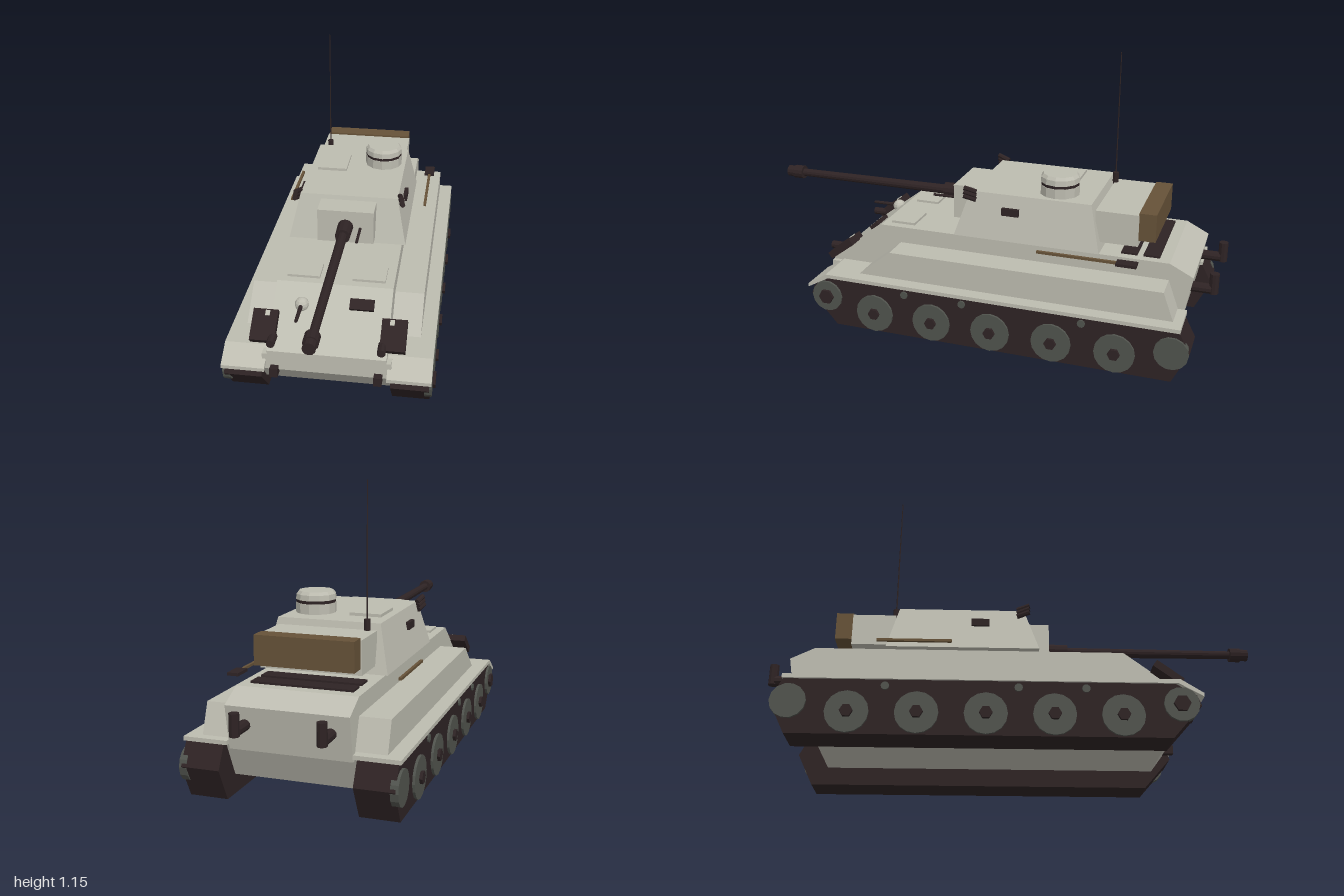
import * as THREE from 'three';

const mat = (name, color) => {
  const m = new THREE.MeshStandardMaterial({ color, flatShading: true });
  m.name = name;
  return m;
};

export function createModel() {
  const paint = mat('pale grey paint', 0xbdbcb0);
  const dark = mat('dark metal', 0x2e2324);
  const steel = mat('wheel grey', 0x50534d);
  const brown = mat('brown wood', 0x665238);
  const root = new THREE.Group();
  root.name = 'tank';

  const add = (name, geo, material, x = 0, y = 0, z = 0) => {
    const m = new THREE.Mesh(geo, material);
    m.name = name;
    m.position.set(x, y, z);
    root.add(m);
    return m;
  };
  // Box given by its min and max corners
  const box = (name, material, x0, x1, y0, y1, z0, z1) =>
    add(name, new THREE.BoxGeometry(x1 - x0, y1 - y0, z1 - z0), material,
      (x0 + x1) / 2, (y0 + y1) / 2, (z0 + z1) / 2);
  // Side outline of [z, y] points, extruded from x0 to x1
  const profile = (name, material, pts, x0, x1) => {
    const shape = new THREE.Shape(pts.map(p => new THREE.Vector2(p[0], p[1])));
    const g = new THREE.ExtrudeGeometry(shape, { depth: x1 - x0, bevelEnabled: false });
    g.rotateY(-Math.PI / 2);
    return add(name, g, material, x1, 0, 0);
  };
  // Cylinder along an axis; r1 is the end toward the positive axis
  const cyl = (name, material, axis, r0, r1, len, seg, x, y, z) => {
    const g = new THREE.CylinderGeometry(r1, r0, len, seg);
    if (axis === 'x') g.rotateZ(-Math.PI / 2);
    if (axis === 'z') g.rotateX(Math.PI / 2);
    return add(name, g, material, x, y, z);
  };
  const glacisTilt = Math.atan2(0.18, 0.24);

  // Hull
  profile('lowerHull', paint, [[0.6, 0.075], [0.66, 0.155], [0.66, 0.225], [-0.87, 0.225], [-0.8, 0.075]], -0.255, 0.255);
  profile('upperHull', paint, [[0.66, 0.155], [0.66, 0.24], [0.425, 0.418], [-0.81, 0.418], [-0.905, 0.37], [-0.875, 0.2]], -0.236, 0.236);

  for (const s of [1, -1]) {
    const span = (a, b) => (s > 0 ? [a, b] : [-b, -a]);
    // Sponsons, fenders and tracks
    profile('sponson', paint, [[0.485, 0.225], [0.335, 0.348], [-0.81, 0.348], [-0.855, 0.225]], ...span(0.23, 0.355));
    profile('fender', paint, [[-0.89, 0.216], [0.6, 0.216], [0.695, 0.163], [0.695, 0.178], [0.61, 0.232], [-0.89, 0.232]], ...span(0.24, 0.414));
    profile('track', dark, [[0.57, 0], [0.685, 0.13], [0.67, 0.17], [0.59, 0.217], [-0.885, 0.217], [-0.93, 0.13], [-0.865, 0]], ...span(0.254, 0.405));

    // Road wheels with hubs
    for (let i = 0; i < 5; i++) {
      const z = 0.387 - i * 0.257;
      cyl('roadWheel', steel, 'x', 0.082, 0.082, 0.03, 16, s * 0.4, 0.085, z);
      cyl('wheelHub', dark, 'x', 0.025, 0.025, 0.03, 6, s * 0.412, 0.085, z);
    }
    cyl('frontWheel', steel, 'x', 0.068, 0.068, 0.03, 14, s * 0.4, 0.132, 0.608);
    cyl('frontHub', dark, 'x', 0.033, 0.033, 0.03, 6, s * 0.412, 0.132, 0.608);
    cyl('rearWheel', steel, 'x', 0.068, 0.068, 0.03, 14, s * 0.4, 0.125, -0.86);
    for (const z of [0.25, -0.005, -0.505])
      cyl('returnRoller', steel, 'x', 0.016, 0.016, 0.02, 10, s * 0.402, 0.19, z);

    // Plates and pins on the front corners
    const plate = add('frontPlate', new THREE.BoxGeometry(0.1, 0.03, 0.13), dark, s * 0.256, 0.308, 0.59);
    plate.rotation.x = glacisTilt;
    const tab = add('plateTab', new THREE.BoxGeometry(0.018, 0.008, 0.022), paint, s * 0.247, 0.349, 0.56);
    tab.rotation.x = glacisTilt;
    cyl('platePin', dark, 'z', 0.017, 0.017, 0.06, 10, s * 0.216, 0.283, 0.645);
    const [h0, h1] = span(0.189, 0.221);
    box('towHook', dark, h0, h1, 0.137, 0.175, 0.64, 0.69);

    // Exhausts
    cyl('exhaustStub', dark, 'z', 0.021, 0.021, 0.09, 10, s * 0.163, 0.302, -0.925);
    cyl('exhaustPipe', dark, 'y', 0.019, 0.019, 0.085, 10, s * 0.163, 0.327, -0.978);

    // Hatches on the front deck
    const [d0, d1] = span(0.067, 0.2);
    box('driverHatch', paint, d0, d1, 0.41, 0.428, 0.285, 0.39);

    // Turret side slits and launchers
    const [v0, v1] = span(0.215, 0.238);
    box('sideSlit', dark, v0, v1, 0.53, 0.56, -0.19, -0.117);
    for (let i = 0; i < 3; i++) {
      const tube = cyl('launcher', dark, 'z', 0.011, 0.011, 0.055, 8, s * (0.228 - i * 0.003), 0.588 + i * 0.016, 0.022);
      tube.rotation.set(-0.3, s * 0.2, 0);
    }
  }

  // Glacis fittings
  const slit = add('visionSlit', new THREE.BoxGeometry(0.097, 0.02, 0.045), dark, 0.119, 0.374, 0.492);
  slit.rotation.x = glacisTilt;
  add('gunBall', new THREE.SphereGeometry(0.029, 10, 8), paint, -0.121, 0.364, 0.502);
  cyl('hullGun', dark, 'z', 0.009, 0.007, 0.12, 8, -0.121, 0.368, 0.568);

  // Engine grilles
  box('engineGrille', dark, -0.2, 0.2, 0.41, 0.426, -0.765, -0.7);
  box('engineGrille', dark, -0.2, 0.2, 0.41, 0.426, -0.675, -0.61);

  // Tools along the hull sides
  box('toolBar', brown, -0.316, -0.304, 0.419, 0.429, -0.56, -0.265);
  box('axeHandle', brown, 0.302, 0.314, 0.419, 0.429, -0.65, -0.29);
  box('axeHead', dark, 0.285, 0.33, 0.418, 0.43, -0.695, -0.613);

  // Turret shell: a box whose top is drawn inward
  const shell = new THREE.BoxGeometry(1, 1, 1);
  const p = shell.attributes.position;
  for (let i = 0; i < p.count; i++) {
    const top = p.getY(i) > 0;
    p.setXYZ(i, Math.sign(p.getX(i)) * (top ? 0.21 : 0.252), top ? 0.612 : 0.424,
      p.getZ(i) > 0 ? (top ? 0.025 : 0.085) : (top ? -0.485 : -0.53));
  }
  shell.computeVertexNormals();
  add('turret', shell, paint);
  cyl('turretRing', paint, 'y', 0.21, 0.21, 0.02, 20, 0, 0.42, -0.22);

  // Main gun
  box('mantlet', paint, -0.12, 0.12, 0.447, 0.594, 0.02, 0.134);
  cyl('gunSleeve', dark, 'z', 0.034, 0.032, 0.09, 12, 0, 0.522, 0.175);
  cyl('gunBarrel', dark, 'z', 0.021, 0.017, 0.75, 12, 0, 0.522, 0.575);
  cyl('muzzle', dark, 'z', 0.03, 0.03, 0.045, 12, 0, 0.522, 0.945);
  cyl('muzzleTip', dark, 'z', 0.025, 0.025, 0.035, 12, 0, 0.522, 0.9825);
  cyl('sideGun', dark, 'z', 0.006, 0.006, 0.13, 8, 0.063, 0.516, 0.185);

  // Rear stowage
  box('turretBin', paint, -0.2, 0.2, 0.455, 0.587, -0.675, -0.5);
  box('stowageBox', brown, -0.195, 0.195, 0.48, 0.595, -0.743, -0.673);

  // Cupola
  const cx = 0.111, cz = -0.33;
  cyl('cupolaBase', paint, 'y', 0.082, 0.082, 0.045, 12, cx, 0.63, cz);
  cyl('cupolaBand', dark, 'y', 0.08, 0.08, 0.014, 12, cx, 0.659, cz);
  cyl('cupolaTop', paint, 'y', 0.082, 0.08, 0.022, 12, cx, 0.676, cz);
  cyl('cupolaLid', paint, 'y', 0.08, 0.07, 0.013, 12, cx, 0.693, cz);

  // Roof hatch and antenna
  box('roofHatch', paint, -0.175, -0.045, 0.6, 0.624, -0.372, -0.212);
  cyl('antennaBase', dark, 'y', 0.013, 0.013, 0.06, 8, -0.163, 0.6, -0.503);
  cyl('antenna', dark, 'y', 0.003, 0.002, 0.53, 6, -0.163, 0.885, -0.503);

  return root;
}
